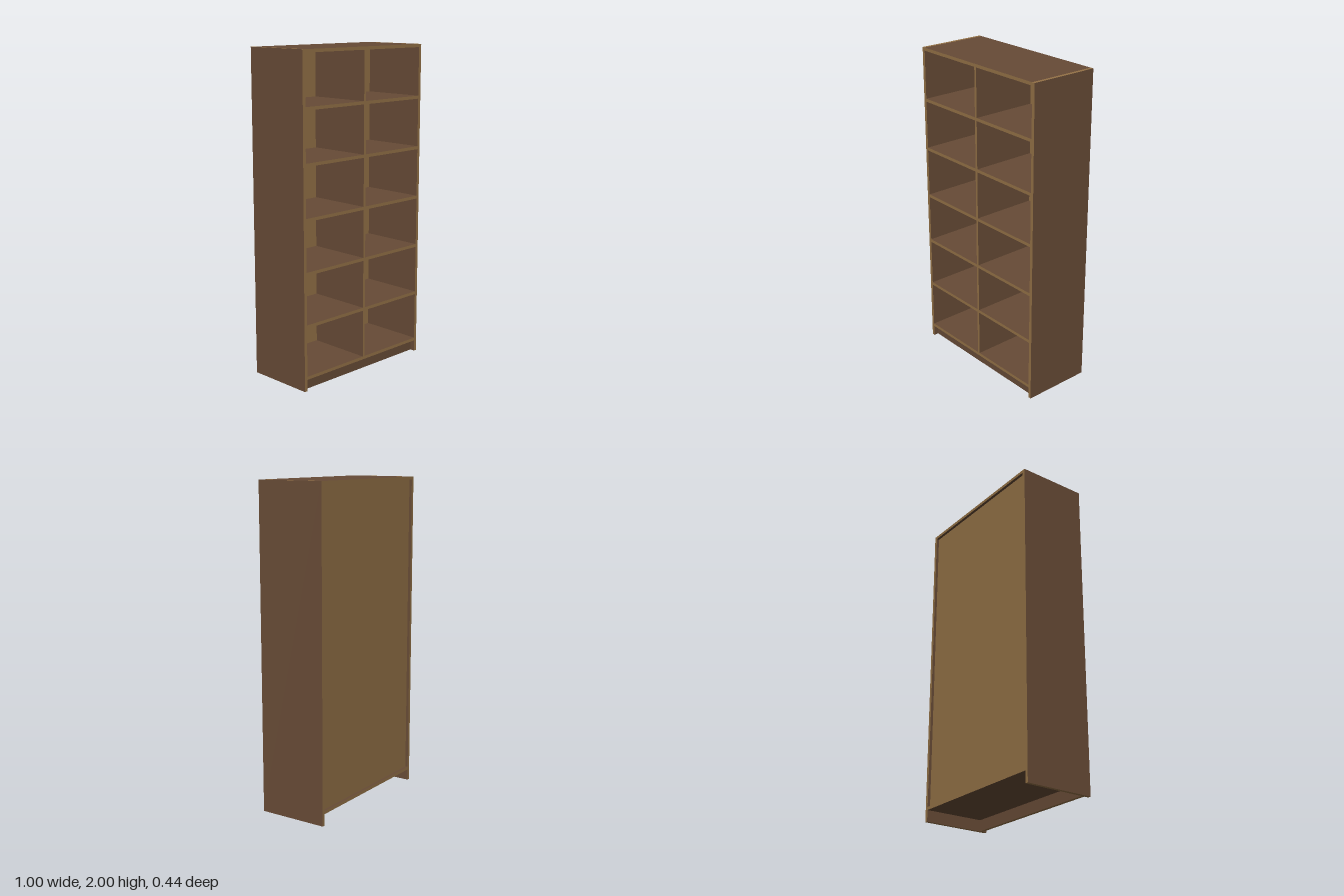
import * as THREE from 'three';

export function createModel() {
  const model = new THREE.Group();
  model.name = 'bookcase';

  const veneer = new THREE.MeshStandardMaterial({ color: 0x674b36 });
  veneer.name = 'brown veneer';
  const edge = new THREE.MeshStandardMaterial({ color: 0x937146 });
  edge.name = 'tan wood';

  // Box given by its limits; the two broad faces across `axis` are veneered, the rest are edges
  function board(name, [x0, x1], [y0, y1], [z0, z1], axis, parent = model) {
    const geometry = new THREE.BoxGeometry(x1 - x0, y1 - y0, z1 - z0);
    const materials = ['x', 'x', 'y', 'y', 'z', 'z'].map((a) => (a === axis ? veneer : edge));
    const mesh = new THREE.Mesh(geometry, materials);
    mesh.name = name;
    mesh.position.set((x0 + x1) / 2, (y0 + y1) / 2, (z0 + z1) / 2);
    parent.add(mesh);
    return mesh;
  }

  const W = 0.5, H = 2, D = 0.22;   // half width, height, half depth
  const T = 0.019;                  // board thickness
  const inner = W - 0.02;           // inner face of the side panels
  const bottomTop = 0.09;           // top of the bottom board
  const panelFront = -0.197;        // inner face of the back panel
  const rows = 6;
  const pitch = (H - bottomTop) / rows;
  const half = 0.008;               // half thickness of the divider

  // Side panels
  board('leftSide', [inner, W], [0, H], [-D, D], 'x');
  board('rightSide', [-W, -inner], [0, H], [-D, D], 'x');

  // Top, bottom and recessed plinth
  board('topBoard', [-inner, inner], [H - T, H], [-D, D], 'y');
  board('bottomBoard', [-inner, inner], [bottomTop - T, bottomTop], [-D, D], 'y');
  board('plinth', [-inner, inner], [0, bottomTop - T], [D - 0.05, D - 0.03], 'z');

  // Central divider
  board('divider', [-half, half], [bottomTop, H - T], [panelFront, D], 'x');

  // Shelves on both sides of the divider
  const shelves = new THREE.Group();
  shelves.name = 'shelves';
  model.add(shelves);
  for (let i = 1; i < rows; i++) {
    const y = bottomTop + i * pitch;
    board('leftShelf', [half, inner], [y - T, y], [panelFront, D], 'y', shelves);
    board('rightShelf', [-inner, -half], [y - T, y], [panelFront, D], 'y', shelves);
  }

  // Thin back panel, set in between the boards
  board('backPanel', [-inner, inner], [bottomTop, H - T], [panelFront - 0.006, panelFront], 'none');

  return model;
}
